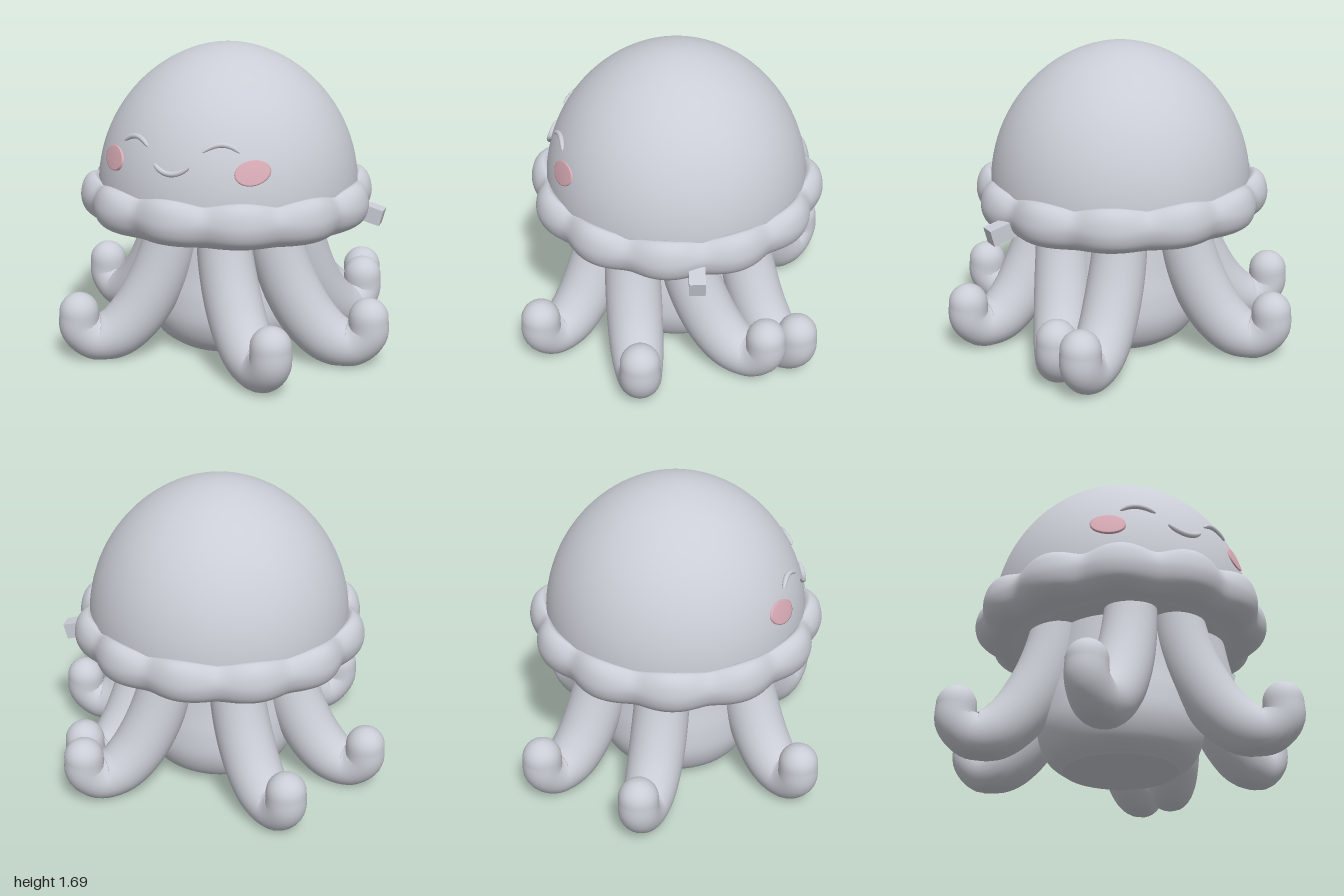
import * as THREE from 'three';
import { mergeVertices } from 'three/addons/utils/BufferGeometryUtils.js';

const skin = new THREE.MeshStandardMaterial({ color: 0xcacdd5 });
skin.name = 'soft grey';
const pink = new THREE.MeshStandardMaterial({ color: 0xdaacb7 });
pink.name = 'blush pink';

const V = (x, y, z) => new THREE.Vector3(x, y, z);

function add(group, name, geometry, material = skin) {
  const mesh = new THREE.Mesh(geometry, material);
  mesh.name = name;
  group.add(mesh);
  return mesh;
}

// Weld seams so that normals run smoothly all the way round
function smooth(geometry) {
  geometry.deleteAttribute('uv');
  geometry.deleteAttribute('normal');
  const welded = mergeVertices(geometry, 1e-4);
  welded.computeVertexNormals();
  return welded;
}

// Dome radius at a height, and a point on the front of the dome
const domeRadius = (y) => 0.724 * Math.pow(Math.max(0, 1 - ((y - 0.9) / 0.79) ** 2), 0.53);
function onDome(x, y, lift = 0) {
  const r = domeRadius(y);
  const p = V(x, y, Math.sqrt(r * r - x * x));
  const n = V(p.x, p.y - 0.9, p.z).normalize();
  return p.addScaledVector(n, lift);
}

function domeGeometry() {
  const profile = [];
  for (let i = 0; i <= 40; i++) {
    const y = 0.9 + 0.79 * Math.sin((i / 40) * Math.PI / 2);
    profile.push(new THREE.Vector2(i === 40 ? 0 : domeRadius(y), y));
  }
  return new THREE.LatheGeometry(profile, 96);
}

// Rim with twelve puffy lobes, slightly lower at the sides, closed underneath
function ruffleGeometry() {
  const section = new THREE.SplineCurve([
    [0, 0.77], [0.3, 0.77], [0.52, 0.76], [0.63, 0.732], [0.71, 0.735], [0.775, 0.78],
    [0.8, 0.85], [0.79, 0.915], [0.76, 0.96], [0.725, 0.972], [0.69, 0.93],
  ].map(([r, y]) => new THREE.Vector2(r, y)));
  const geo = new THREE.LatheGeometry(section.getPoints(50), 192);
  const pos = geo.attributes.position;
  for (let i = 0; i < pos.count; i++) {
    const x = pos.getX(i), y = pos.getY(i), z = pos.getZ(i);
    const r = Math.hypot(x, z);
    if (r < 0.4) continue;
    const lobe = Math.sqrt(0.1 + 0.9 * Math.cos(6 * Math.atan2(x, z)) ** 2);
    const grow = 1 + THREE.MathUtils.smoothstep(r, 0.6, 0.79) * (0.058 * lobe - 0.038) / r;
    const lift = THREE.MathUtils.smoothstep(y, 0.85, 0.96) * (0.045 * lobe - 0.03);
    const sag = THREE.MathUtils.smoothstep(r, 0.4, 0.62) * 0.018 * (x / r) ** 2;
    pos.setXYZ(i, x * grow, y + lift - sag, z * grow);
  }
  return smooth(geo);
}

// Tentacle swept from base to tip: [share of reach, height, radius]
const armSteps = [
  [0, 0.82, 0.14], [0.08, 0.6, 0.15], [0.22, 0.4, 0.155], [0.42, 0.23, 0.152],
  [0.63, 0.135, 0.142], [0.84, 0.115, 0.124], [0.99, 0.18, 0.112], [1, 0.27, 0.108],
];
function tentacleGeometry([bx, bz], [tx, tz]) {
  const path = new THREE.CatmullRomCurve3(
    armSteps.map(([s, y]) => V(bx + (tx - bx) * s, y, bz + (tz - bz) * s)));
  const radii = new THREE.SplineCurve(armSteps.map(([, , r], i) => new THREE.Vector2(i, r)));
  const side = V(tz - bz, 0, bx - tx).normalize();
  const steps = 48, capSteps = 8, sides = 28;
  const positions = [], index = [];
  for (let i = 0; i <= steps + capSteps; i++) {
    const t = Math.min(1, i / steps);
    const a = Math.max(0, i - steps) / capSteps * Math.PI / 2;
    const tangent = path.getTangent(t);
    const normal = tangent.clone().cross(side);
    const r = radii.getPoint(t).y;
    const centre = path.getPoint(t).addScaledVector(tangent, r * Math.sin(a));
    for (let j = 0; j < sides; j++) {
      const b = (j / sides) * Math.PI * 2;
      const p = centre.clone()
        .addScaledVector(side, r * Math.cos(a) * Math.cos(b))
        .addScaledVector(normal, r * Math.cos(a) * Math.sin(b));
      positions.push(p.x, Math.max(0, p.y), p.z); // flattened where it rests
      if (i === 0) continue;
      const k = (j + 1) % sides, lo = (i - 1) * sides, hi = i * sides;
      index.push(lo + j, lo + k, hi + j, lo + k, hi + k, hi + j);
    }
  }
  const geo = new THREE.BufferGeometry();
  geo.setAttribute('position', new THREE.Float32BufferAttribute(positions, 3));
  geo.setIndex(index);
  geo.computeVertexNormals();
  return geo;
}

// Cord on the dome with tapered ends: an arch when rise > 0, a smile when rise < 0
function cordGeometry(x, y, halfWidth, rise, radius) {
  const points = [];
  for (let i = 0; i <= 10; i++) {
    const u = i / 5 - 1;
    points.push(onDome(x + u * halfWidth, y + rise * (1 - u * u), 0.008));
  }
  const path = new THREE.CatmullRomCurve3(points);
  const steps = 40, sides = 10;
  const geo = new THREE.TubeGeometry(path, steps, radius, sides);
  const pos = geo.attributes.position;
  for (let i = 0; i < pos.count; i++) {
    const t = Math.floor(i / (sides + 1)) / steps;
    const p = V().fromBufferAttribute(pos, i);
    p.lerp(path.getPointAt(t), 1 - Math.pow(Math.max(0, 1 - (2 * t - 1) ** 4), 0.5));
    pos.setXYZ(i, p.x, p.y, p.z);
  }
  return geo;
}

// Thin oval plate laid on the dome, its last ring turned down as an edge
function cheekGeometry(x, y) {
  const geo = new THREE.RingGeometry(0.001, 1, 40, 12);
  const pos = geo.attributes.position;
  for (let i = 0; i < pos.count; i++) {
    const u = pos.getX(i), v = pos.getY(i);
    const edge = Math.hypot(u, v) > 0.99;
    const out = edge ? 1 : 1.08;
    const p = onDome(x + u * out * 0.077, y + v * out * 0.063, edge ? -0.002 : 0.009);
    pos.setXYZ(i, p.x, p.y, p.z);
  }
  geo.computeVertexNormals();
  return geo;
}

export function createModel() {
  const model = new THREE.Group();
  model.name = 'jellyfish';

  const dome = add(model, 'dome', domeGeometry());
  dome.position.x = 0.005;
  add(model, 'ruffle', ruffleGeometry());

  // Rounded inner body with a flat foot
  const belly = new THREE.SplineCurve([
    [0.31, 0], [0.4, 0.07], [0.45, 0.19], [0.445, 0.33], [0.41, 0.5], [0.36, 0.8],
  ].map(([r, y]) => new THREE.Vector2(r, y)));
  add(model, 'body', new THREE.LatheGeometry(belly.getPoints(30), 64));
  const foot = add(model, 'foot', new THREE.CircleGeometry(0.31, 64));
  foot.rotation.x = Math.PI / 2;

  // Seven tentacles: base and tip as [x, z]
  const arms = [
    ['frontLeftTentacle', [0.135, 0.37], [0.565, 0.71]],
    ['leftTentacle', [0.36, 0.22], [0.89, 0.12]],
    ['leftRearTentacle', [0.38, -0.05], [0.635, -0.54]],
    ['backLeftTentacle', [0.17, -0.36], [0.575, -0.71]],
    ['backRightTentacle', [-0.18, -0.37], [-0.565, -0.72]],
    ['rightTentacle', [-0.37, -0.05], [-0.89, -0.17]],
    ['frontRightTentacle', [-0.145, 0.37], [-0.575, 0.69]],
  ];
  for (const [name, base, tip] of arms) add(model, name, tentacleGeometry(base, tip));

  // Face
  for (const s of [-1, 1]) {
    const label = s > 0 ? 'left' : 'right';
    add(model, label + 'Eye', cordGeometry(s * 0.24, 1.222, 0.09, 0.038, 0.014));
    add(model, label + 'Cheek', cheekGeometry(s * 0.395, 1.125), pink);
  }
  add(model, 'mouth', cordGeometry(0, 1.15, 0.1, -0.042, 0.015));

  // Small tab sticking out of the rim
  const tab = add(model, 'tab', new THREE.BoxGeometry(0.16, 0.09, 0.085));
  tab.position.set(0.78, 0.772, -0.17);
  tab.rotation.set(0, 0.1, -0.25);

  return model;
}
